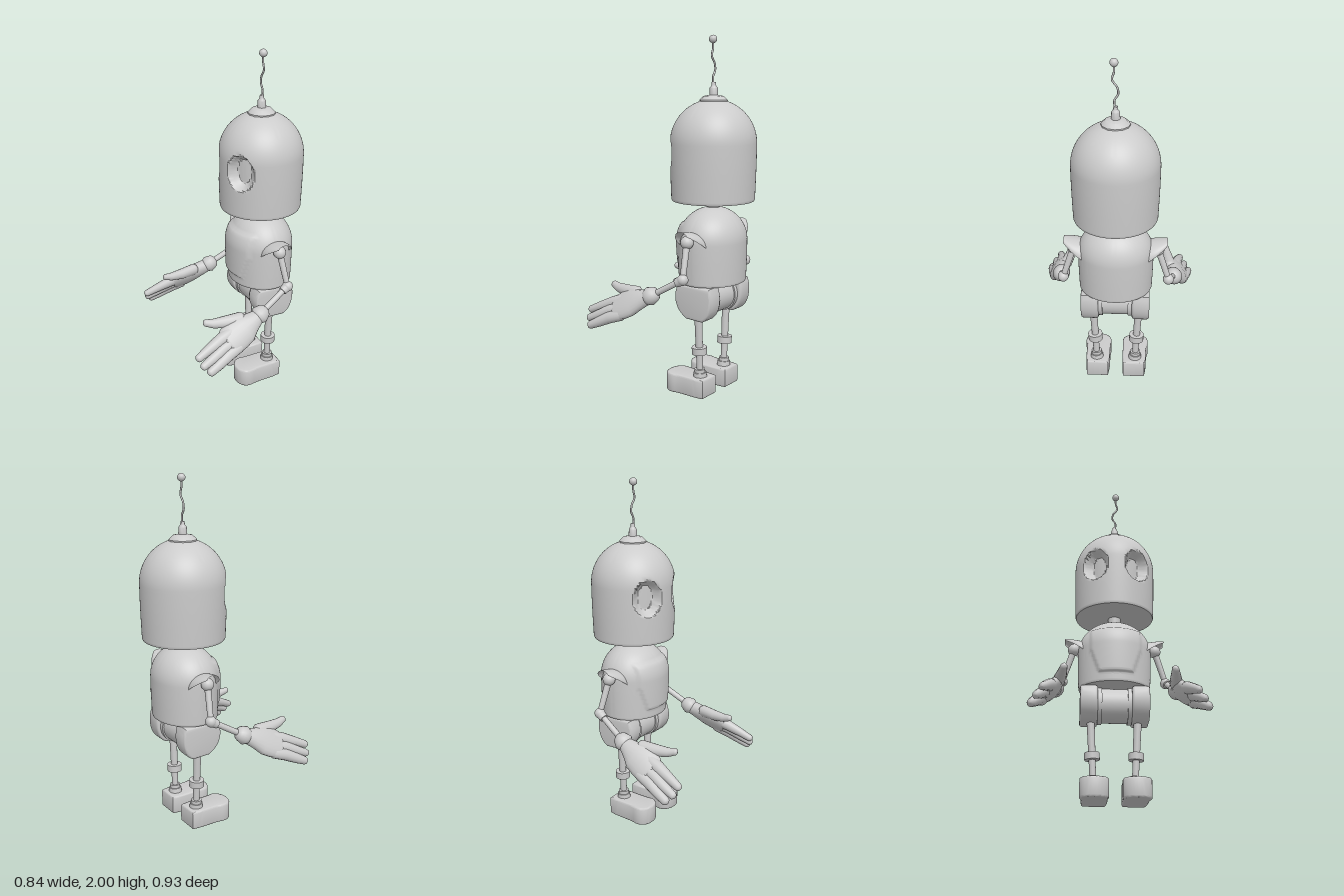
import * as THREE from 'three';
import { toCreasedNormals } from 'three/addons/utils/BufferGeometryUtils.js';

const V = (x, y, z) => new THREE.Vector3(x, y, z);
const grey = new THREE.MeshStandardMaterial({ color: 0xcccccc });
const greyThin = new THREE.MeshStandardMaterial({ color: 0xcccccc, side: THREE.DoubleSide });
const CX = 0.18; // body axis

// Straight rod between two points
function rod(a, b, r1, r2 = r1, sides = 16) {
  const d = b.clone().sub(a);
  const g = new THREE.CylinderGeometry(r2, r1, d.length(), sides);
  g.applyQuaternion(new THREE.Quaternion().setFromUnitVectors(V(0, 1, 0), d.normalize()));
  const m = a.clone().add(b).multiplyScalar(0.5);
  return g.translate(m.x, m.y, m.z);
}

const ball = (c, r) => new THREE.SphereGeometry(r, 20, 14).translate(c.x, c.y, c.z);

// Elliptical sections [centre, halfWidth, halfThickness], with rounded ends
function loft(sections, side, n = 20) {
  const d = sections.at(-1)[0].clone().sub(sections[0][0]).normalize();
  const w = side.clone().addScaledVector(d, -side.dot(d)).normalize();
  const t = w.clone().cross(d);
  const cap = ([c, a, b], s) => [[0.85, 0.5], [0.5, 0.85], [0.001, 1]]
    .map(([k, o]) => [c.clone().addScaledVector(d, s * o * b * 0.8), a * k, b * k]);
  const rings = [...cap(sections[0], -1).reverse(), ...sections, ...cap(sections.at(-1), 1)];
  const pos = [], idx = [];
  rings.forEach(([c, a, b], i) => {
    for (let j = 0; j < n; j++) {
      const q = (j / n) * Math.PI * 2;
      const p = c.clone().addScaledVector(w, a * Math.cos(q)).addScaledVector(t, b * Math.sin(q));
      pos.push(p.x, p.y, p.z);
      if (i < rings.length - 1) {
        const k = (j + 1) % n, u = i * n, v = u + n;
        idx.push(u + j, v + j, u + k, v + j, v + k, u + k);
      }
    }
  });
  const g = new THREE.BufferGeometry();
  g.setAttribute('position', new THREE.Float32BufferAttribute(pos, 3));
  g.setIndex(idx);
  g.computeVertexNormals();
  return g;
}

// Dome-topped barrel: flat bottom, near-straight wall, elliptical top
function barrel(r, y0, ySide, y1, bulge, rule) {
  const pts = [new THREE.Vector2(0, y0), new THREE.Vector2(r * 0.96, y0)];
  for (let i = 0; i <= 40; i++) {
    const k = i / 40;
    pts.push(new THREE.Vector2(r * (0.975 + bulge * Math.sin(k * Math.PI / 2)), y0 + 0.008 + (ySide - y0 - 0.008) * k));
  }
  const top = pts.at(-1).x;
  for (let i = 1; i <= 24; i++) {
    const q = (i / 24) * Math.PI / 2;
    pts.push(new THREE.Vector2(Math.max(0, top * Math.cos(q)), ySide + (y1 - ySide) * Math.sin(q)));
  }
  const g = new THREE.LatheGeometry(pts, 120);
  const p = g.attributes.position, v = V(0, 0, 0);
  for (let i = 0; i < p.count; i++) {
    rule(v.fromBufferAttribute(p, i));
    p.setXYZ(i, v.x, v.y, v.z);
  }
  return toCreasedNormals(g, 0.7);
}

// Reflected copy across z = 0 with corrected winding
function mirrorZ(geo) {
  const g = geo.clone().scale(1, 1, -1);
  const old = g.index ? Array.from(g.index.array) : Array.from({ length: g.attributes.position.count }, (_, i) => i);
  for (let i = 0; i < old.length; i += 3) [old[i], old[i + 1]] = [old[i + 1], old[i]];
  g.setIndex(old);
  return g;
}

// Shoulder hood: arches that narrow and rise outward
function hood() {
  const g = new THREE.PlaneGeometry(1, 1, 24, 6), p = g.attributes.position;
  for (let i = 0; i < p.count; i++) {
    const a = (p.getX(i) + 0.5) * Math.PI, s = p.getY(i) + 0.5;
    p.setXYZ(i, CX + 0.09 * (1 - 0.6 * s * s) * Math.cos(a),
      0.87 + 0.075 * s + (0.078 - 0.058 * s) * Math.sin(a), 0.185 + 0.105 * s);
  }
  g.computeVertexNormals();
  return g;
}

// Hip pad: rounded-bottom plate
function hipPad() {
  const s = new THREE.Shape();
  s.moveTo(-0.095, 0.635);
  s.lineTo(0.105, 0.635);
  s.bezierCurveTo(0.125, 0.58, 0.115, 0.49, 0.06, 0.465);
  s.lineTo(-0.04, 0.468);
  s.bezierCurveTo(-0.1, 0.5, -0.13, 0.56, -0.095, 0.635);
  const g = new THREE.ExtrudeGeometry(s, { depth: 0.068, bevelSize: 0.012, bevelThickness: 0.016, bevelSegments: 3, curveSegments: 12 });
  return toCreasedNormals(g.translate(CX, 0, 0.112), 0.7);
}

// Foot: block with a rounded toe toward -x
function foot() {
  const s = new THREE.Shape();
  s.moveTo(0.23, 0.055);
  s.lineTo(0.23, 0.165);
  s.bezierCurveTo(0.16, 0.18, 0.1, 0.165, 0.04, 0.182);
  s.bezierCurveTo(-0.05, 0.195, -0.04, 0.04, 0.03, 0.046);
  s.bezierCurveTo(0.1, 0.055, 0.16, 0.042, 0.23, 0.055);
  const g = new THREE.ExtrudeGeometry(s, { depth: 0.09, bevelSize: 0.01, bevelThickness: 0.01, bevelSegments: 3, curveSegments: 14 });
  return toCreasedNormals(g.rotateX(Math.PI / 2).translate(0, 0.1, 0), 0.7);
}

// All the parts of one side, on +z
function sideParts() {
  const shoulder = V(CX, 0.9, 0.237), elbow = V(0.2, 0.71, 0.3), wrist = V(0.01, 0.6, 0.335);
  const across = V(0, 0.77, -0.64);
  const fore = wrist.clone().sub(elbow).normalize();
  const along = (p, k) => p.clone().addScaledVector(fore, k);
  const hip = V(CX, 0.5, 0.135), knee = V(CX, 0.265, 0.123), ankle = V(CX, 0.1, 0.115);
  const finger = (pts, r) => loft(pts.map((p, i) => [p, r[i], r[i] * 0.9]), across, 14);
  return [
    ['shoulderHood', hood(), greyThin],
    ['shoulderBall', ball(shoulder, 0.036)],
    ['upperArm', rod(shoulder, elbow, 0.019, 0.016)],
    ['elbowBall', ball(elbow, 0.031)],
    ['elbowCollar', rod(along(elbow, 0.005), along(elbow, 0.042), 0.028, 0.024)],
    ['forearm', rod(elbow, wrist, 0.017)],
    ['cuff', loft([[along(wrist, -0.012), 0.046, 0.044], [along(wrist, 0.01), 0.054, 0.05], [along(wrist, 0.03), 0.044, 0.04]], across)],
    ['palm', loft([[V(-0.02, 0.585, 0.34), 0.045, 0.04], [V(-0.06, 0.568, 0.347), 0.06, 0.042], [V(-0.11, 0.548, 0.355), 0.088, 0.044],
      [V(-0.16, 0.525, 0.363), 0.092, 0.04], [V(-0.21, 0.5, 0.378), 0.082, 0.034]], across)],
    ['thumb', finger([V(-0.11, 0.592, 0.318), V(-0.2, 0.588, 0.305), V(-0.27, 0.592, 0.295), V(-0.31, 0.603, 0.288)], [0.038, 0.034, 0.026, 0.02])],
    ['upperFinger', finger([V(-0.18, 0.545, 0.348), V(-0.25, 0.522, 0.36), V(-0.33, 0.49, 0.375), V(-0.4, 0.46, 0.388)], [0.036, 0.035, 0.028, 0.022])],
    ['middleFinger', finger([V(-0.18, 0.505, 0.378), V(-0.25, 0.482, 0.393), V(-0.32, 0.449, 0.407), V(-0.385, 0.42, 0.418)], [0.034, 0.033, 0.028, 0.022])],
    ['lowerFinger', finger([V(-0.16, 0.475, 0.4), V(-0.23, 0.45, 0.416), V(-0.3, 0.415, 0.432), V(-0.355, 0.389, 0.443)], [0.036, 0.035, 0.03, 0.024])],
    ['hipPad', hipPad()],
    ['thigh', rod(hip, knee, 0.023, 0.02)],
    ['knee', rod(V(CX, 0.245, 0.122), V(CX, 0.285, 0.124), 0.043)],
    ['shin', rod(knee, ankle, 0.019)],
    ['ankleCollar', rod(V(CX, 0.13, 0.117), V(CX, 0.155, 0.118), 0.03)],
    ['ankle', rod(V(CX, 0.1, 0.115), V(CX, 0.135, 0.117), 0.04, 0.036)],
    ['foot', foot()],
  ];
}

export function createModel() {
  const root = new THREE.Group();
  root.name = 'robot';
  const add = (name, geo, mat = grey) => {
    const m = new THREE.Mesh(geo, mat);
    m.name = name;
    m.position.z = -0.013;
    root.add(m);
    return m;
  };

  // Head with two eye sockets pressed inward
  const head = barrel(0.238, 1.105, 1.42, 1.66, 0.03, (v) => {
    const t = Math.abs(Math.atan2(v.z, -v.x)) - 0.57;
    const d = (t * 0.24 / 0.085) ** 2 + ((v.y - 1.37) / 0.102) ** 2;
    if (d < 1) {
      const k = 1 - 0.24 * Math.min(1, (1 - d) * 2);
      v.x *= k;
      v.z *= k;
    }
  });
  add('head', head.translate(CX, 0, 0));

  // Torso with a raised chest plate
  const torso = barrel(0.212, 0.65, 0.88, 1.07, 0.025, (v) => {
    v.x *= 0.87;
    const half = 0.1 + 0.05 * Math.min(1, Math.max(0, (v.y - 0.7) / 0.15));
    const inside = Math.min((half - Math.abs(v.z)) / 0.012, (v.y - 0.7) / 0.012, (0.985 - v.y) / 0.012);
    if (v.x < 0 && inside > 0) v.x -= 0.014 * Math.min(1, inside);
  });
  add('torso', torso.translate(CX, 0, 0));
  add('neck', rod(V(CX, 1.05, 0), V(CX, 1.12, 0), 0.037));

  // Antenna
  const capProfile = [[0, 1.635], [0.077, 1.635], [0.077, 1.655], [0.055, 1.676], [0.024, 1.682], [0.022, 1.72], [0.013, 1.732], [0.011, 1.75], [0, 1.752]];
  const cap = new THREE.LatheGeometry(capProfile.map(([x, y]) => new THREE.Vector2(x, y)), 12);
  add('antennaBase', toCreasedNormals(cap.translate(CX, 0, 0), 0.6));
  const wire = new THREE.CatmullRomCurve3([[1.74, 0.004], [1.78, 0.006], [1.815, -0.013], [1.85, -0.008], [1.89, 0.018], [1.93, 0.008], [1.98, 0.008]]
    .map(([y, z]) => V(CX, y, z)));
  add('antennaWire', new THREE.TubeGeometry(wire, 48, 0.0055, 8));
  add('antennaBall', ball(V(CX, 1.978, 0.008), 0.022));

  // Pelvis drum with bands
  add('pelvis', rod(V(CX, 0.558, -0.115), V(CX, 0.558, 0.115), 0.098, 0.098, 40));
  for (const z of [-0.085, 0.085]) add('pelvisBand', rod(V(CX, 0.558, z - 0.012), V(CX, 0.558, z + 0.012), 0.106, 0.106, 40));

  // Arms, hands, legs and feet on both sides
  for (const [name, geo, mat] of sideParts()) {
    add(name + 'Front', geo, mat);
    add(name + 'Back', mirrorZ(geo), mat);
  }
  return root;
}
